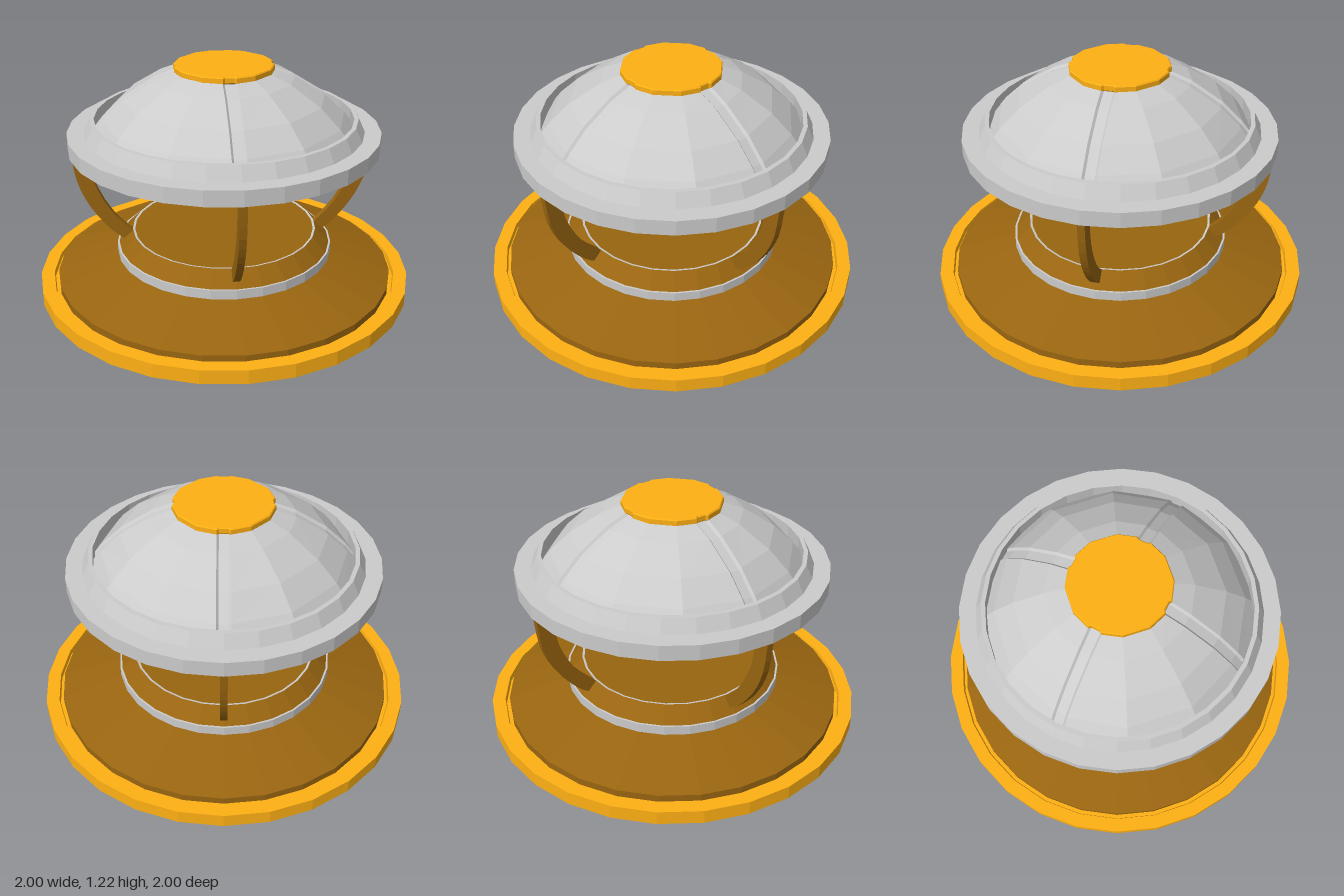
import * as THREE from 'three';

const SIDES = 28;
const paint = (color) => new THREE.MeshStandardMaterial({ color, flatShading: true, side: THREE.DoubleSide });

export function createModel() {
  const model = new THREE.Group();
  const grey = paint(0xcccccc), orange = paint(0xffb014), brown = paint(0x996510);

  const add = (name, geometry, material) => {
    const mesh = new THREE.Mesh(geometry, material);
    mesh.name = name;
    model.add(mesh);
    return mesh;
  };
  const turned = (name, profile, material) =>
    add(name, new THREE.LatheGeometry(profile.map(([r, y]) => new THREE.Vector2(r, y)), SIDES), material);

  // Base: outer ring with a shallow groove, hollow skirt, band and pedestal
  turned('baseRing', [[0.905, 0.05], [0.91, 0], [1, 0], [1, 0.075], [0.93, 0.075], [0.925, 0.05], [0.905, 0.05]], orange);
  turned('baseSkirt', [[0.905, 0.045], [0.905, 0.088], [0.58, 0.19]], brown);
  turned('baseBand', [[0.58, 0.19], [0.58, 0.24], [0.57, 0.24]], grey);
  turned('pedestal', [[0.57, 0.24], [0.495, 0.315]], brown);
  turned('pedestalTrim', [[0.495, 0.315], [0.483, 0.313]], grey);
  turned('pedestalTop', [[0.483, 0.313], [0, 0.313]], brown);

  // Four curved, slightly tapering legs
  const v = ([x, y]) => new THREE.Vector2(x, y);
  const outer = [[0.797, 0.81], [0.775, 0.62], [0.71, 0.46], [0.605, 0.32], [0.51, 0.245]].map(v);
  const inner = [[0.455, 0.285], [0.497, 0.315], [0.605, 0.435], [0.69, 0.62], [0.71, 0.81]].map(v);
  const side = new THREE.Shape([
    ...new THREE.SplineCurve(outer).getPoints(12),
    ...new THREE.SplineCurve(inner).getPoints(12),
  ]);
  const legGeometry = new THREE.ExtrudeGeometry(side, { depth: 0.036, bevelEnabled: false }).translate(0, 0, -0.018);
  for (let i = 0; i < 4; i++) add('leg', legGeometry, brown).rotation.y = i * Math.PI / 2;

  // Stepped canopy rim, closed underneath
  turned('canopyRim', [[0, 0.8], [0.81, 0.8], [0.81, 0.88], [0.725, 0.88], [0.69, 0.95], [0.668, 0.95], [0.668, 0.86]], grey);

  // Twelve-sided outline with four parallel-sided grooves: lip radius r, groove floor radius f
  const outline = (r, f) => {
    const points = [];
    for (let q = 0; q < 4; q++) {
      const turn = q * Math.PI / 2;
      const at = (radius, offset) => {
        const a = turn + Math.asin(offset / radius);
        points.push([radius * Math.cos(a), radius * Math.sin(a), radius === f]);
      };
      at(r, -0.035);
      at(f, -0.024);
      at(f, 0.024);
      at(r, 0.035);
      for (const a of [turn + Math.PI / 6, turn + Math.PI / 3]) points.push([r * Math.cos(a), r * Math.sin(a), false]);
    }
    return points;
  };

  // Dome: part of a sphere, with the groove floors sunk along its normal
  const centreY = 0.395, R = 0.836, sink = 0.985;
  const positions = [], index = [];
  const rows = [0.69, 0.625, 0.52, 0.36, 0.245];
  rows.forEach((r, row) => {
    const h = Math.sqrt(R * R - r * r);
    const ring = outline(r, r * sink);
    const n = ring.length;
    ring.forEach(([x, z, sunk], j) => {
      positions.push(x, centreY + h * (sunk ? sink : 1), z);
      if (row === rows.length - 1) return;
      const a = row * n + j, d = row * n + (j + 1) % n;
      index.push(a, a + n, d, a + n, d + n, d);
    });
  });
  const dome = new THREE.BufferGeometry();
  dome.setAttribute('position', new THREE.Float32BufferAttribute(positions, 3));
  dome.setIndex(index);
  dome.computeVertexNormals();
  add('dome', dome, grey);

  // Notched cap on the dome
  const capShape = new THREE.Shape(outline(0.252, 0.242).map(v));
  const cap = new THREE.ExtrudeGeometry(capShape, {
    depth: 0.024, bevelThickness: 0.006, bevelSize: 0.005, bevelSegments: 1,
  });
  add('cap', cap.rotateX(-Math.PI / 2).translate(0, 1.19, 0), orange);

  return model;
}
